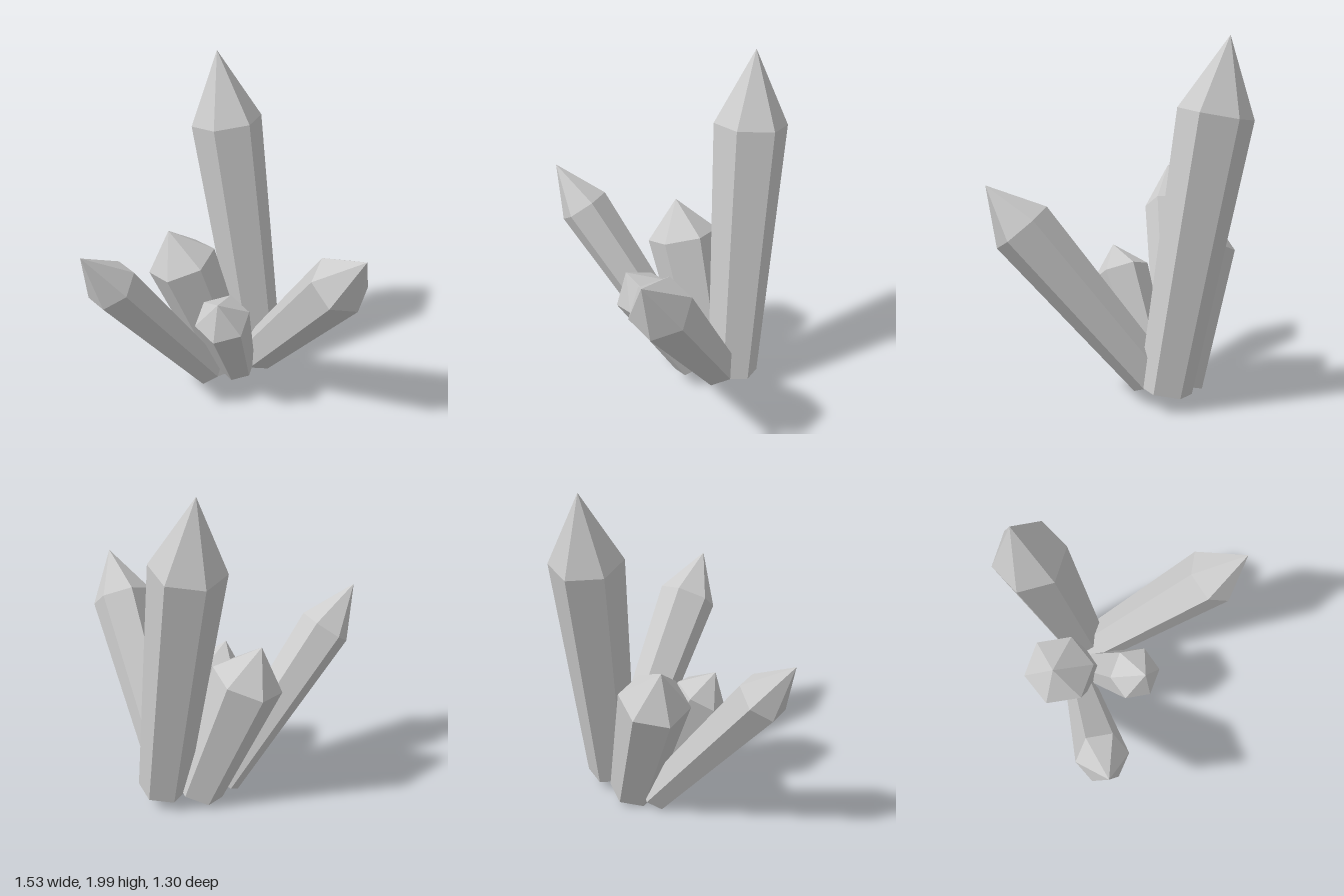
import * as THREE from 'three';

const SHOULDER = 0.785; // where the pointed end starts along the axis
const TAPER = 0.7;      // foot radius relative to shoulder radius

// name, centre of the foot, tip, shoulder radius, one shoulder corner (sets the twist)
const CRYSTALS = [
  ['tallBackCrystal', [0.35, 0.1, -0.26], [0.14, 2.0, -0.53], 0.207, [0.39, 1.61, -0.46]],
  ['rightLeaningCrystal', [0, 0.07, -0.165], [-0.77, 1.17, 0.21], 0.151, [-0.47, 1.01, 0.155]],
  ['stubbyBackCrystal', [0.14, 0.06, -0.235], [-0.21, 1.02, -0.262], 0.207, [0.06, 0.88, -0.23]],
  ['smallFrontCrystal', [0.17, 0.13, -0.09], [-0.03, 0.79, 0.24], 0.16, [0.17, 0.69, 0.19]],
  ['leftLeaningCrystal', [0.317, 0.15, -0.16], [0.67, 1.21, 0.65], 0.175, [0.76, 0.94, 0.465]],
];

// Six-sided tapered prism with a pointed end, built along its own axis
function makeCrystal([name, foot, tip, radius, corner], material) {
  const base = new THREE.Vector3(...foot);
  const end = new THREE.Vector3(...tip);
  const length = base.distanceTo(end);
  const profile = [
    [0, 0],
    [radius * TAPER, 0],
    [radius, length * SHOULDER],
    [0, length],
  ].map(([r, y]) => new THREE.Vector2(r, y));
  const mesh = new THREE.Mesh(new THREE.LatheGeometry(profile, 6), material);
  mesh.name = name;

  // Lean along the axis and turn one edge toward the given corner
  const up = end.clone().sub(base).normalize();
  const out = new THREE.Vector3(...corner)
    .sub(base.clone().lerp(end, SHOULDER))
    .projectOnPlane(up)
    .normalize();
  const side = new THREE.Vector3().crossVectors(up, out);
  mesh.quaternion.setFromRotationMatrix(new THREE.Matrix4().makeBasis(side, up, out));
  mesh.position.copy(base);
  return mesh;
}

export function createModel() {
  const group = new THREE.Group();
  group.name = 'crystalCluster';
  const material = new THREE.MeshStandardMaterial({ color: 0xcccccc, flatShading: true });
  for (const crystal of CRYSTALS) group.add(makeCrystal(crystal, material));
  return group;
}
